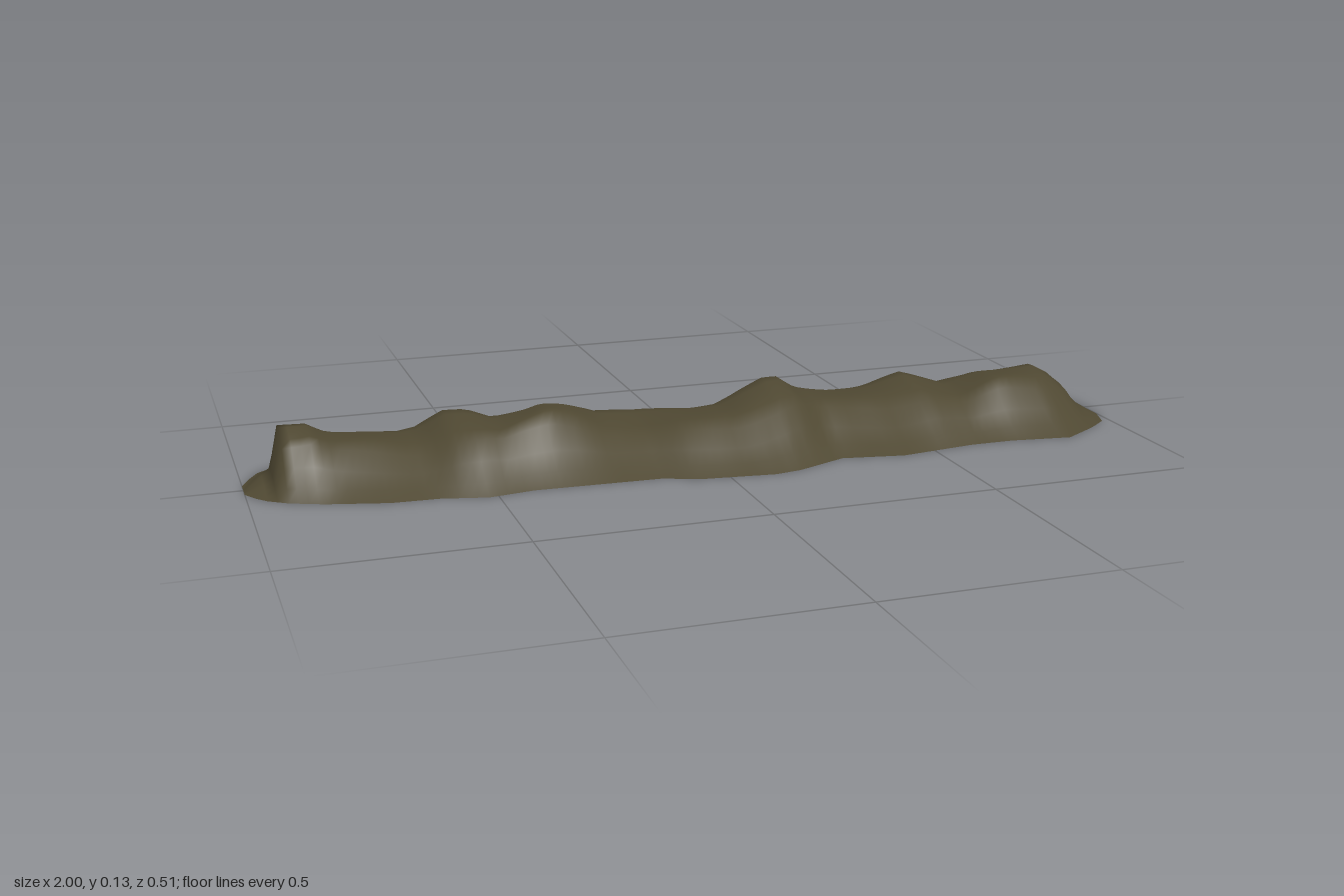
import * as THREE from 'three';

// Plan outline and crest height as [x, value] points
const backEdge = [[-1, -0.03], [-0.97, -0.1], [-0.95, -0.125], [-0.87, -0.155], [-0.8, -0.22], [-0.73, -0.235],
  [-0.52, -0.21], [-0.44, -0.19], [-0.31, -0.215], [-0.18, -0.205], [-0.11, -0.215], [0, -0.19], [0.16, -0.23],
  [0.36, -0.256], [0.42, -0.238], [0.6, -0.22], [0.68, -0.225], [0.84, -0.23], [0.93, -0.21], [0.98, -0.13], [1, -0.04]];
const frontEdge = [[-1, 0.03], [-0.97, 0.08], [-0.92, 0.115], [-0.85, 0.145], [-0.72, 0.18], [-0.62, 0.185],
  [-0.52, 0.21], [-0.42, 0.195], [-0.14, 0.205], [-0.07, 0.235], [0.1, 0.255], [0.16, 0.245], [0.28, 0.195],
  [0.42, 0.22], [0.6, 0.195], [0.7, 0.195], [0.84, 0.215], [0.93, 0.16], [0.98, 0.12], [1, 0.06]];
const crest = [[-1, 0], [-0.94, 0.035], [-0.92, 0.13], [-0.86, 0.13], [-0.81, 0.1], [-0.72, 0.09], [-0.66, 0.08],
  [-0.62, 0.085], [-0.56, 0.12], [-0.51, 0.125], [-0.46, 0.112], [-0.35, 0.134], [-0.29, 0.12], [-0.22, 0.09],
  [-0.13, 0.083], [-0.06, 0.092], [0.06, 0.093], [0.12, 0.115], [0.18, 0.135], [0.22, 0.135], [0.27, 0.105],
  [0.36, 0.09], [0.45, 0.09], [0.54, 0.112], [0.64, 0.086], [0.73, 0.115], [0.88, 0.106], [0.92, 0.085],
  [0.95, 0.035], [1, 0]];
// Cross-section: position across the bank (-1 back, 1 front) and share of the crest height
const section = [[-1, 0], [-0.85, 0.16], [-0.65, 0.43], [-0.45, 0.77], [-0.28, 0.97], [-0.12, 0.98], [0.05, 0.94],
  [0.25, 0.97], [0.42, 0.82], [0.62, 0.47], [0.83, 0.18], [1, 0]];

function sample(points, x) {
  const i = Math.max(1, points.findIndex(p => p[0] >= x - 1e-9));
  const [x0, v0] = points[i - 1], [x1, v1] = points[i];
  return THREE.MathUtils.lerp(v0, v1, (x - x0) / (x1 - x0));
}

// Open shell lofted from cross-sections along x
function moundGeometry() {
  const steps = 100, rows = section.length, positions = [], index = [];
  for (let i = 0; i <= steps; i++) {
    const x = -1 + 2 * i / steps;
    const back = sample(backEdge, x), front = sample(frontEdge, x), top = sample(crest, x);
    section.forEach(([u, share], j) => {
      // gentle lumps in the soil, fading to nothing at the foot
      const inside = 1 - u * u;
      const sway = 0.012 * inside * Math.sin(x * 11 + u * 2);
      const lump = 1 + 0.07 * inside * (Math.sin(x * 17 + u * 5) - 1) * (Math.abs(u) > 0.2 ? 1 : 0.4);
      positions.push(x, top * share * lump, THREE.MathUtils.lerp(back, front, (u + 1) / 2) + sway);
      if (i < steps && j < rows - 1) {
        const a = i * rows + j, b = a + 1, c = a + rows, d = c + 1;
        index.push(a, b, c, b, d, c);
      }
    });
  }
  const geometry = new THREE.BufferGeometry();
  geometry.setAttribute('position', new THREE.Float32BufferAttribute(positions, 3));
  geometry.setIndex(index);
  geometry.computeVertexNormals();
  return geometry;
}

export function createModel() {
  const group = new THREE.Group();
  group.name = 'earthBank';
  const soil = new THREE.MeshStandardMaterial({ color: 0x4f4832, side: THREE.DoubleSide });
  soil.name = 'dark soil';
  const mound = new THREE.Mesh(moundGeometry(), soil);
  mound.name = 'soilMound';
  group.add(mound);
  return group;
}
